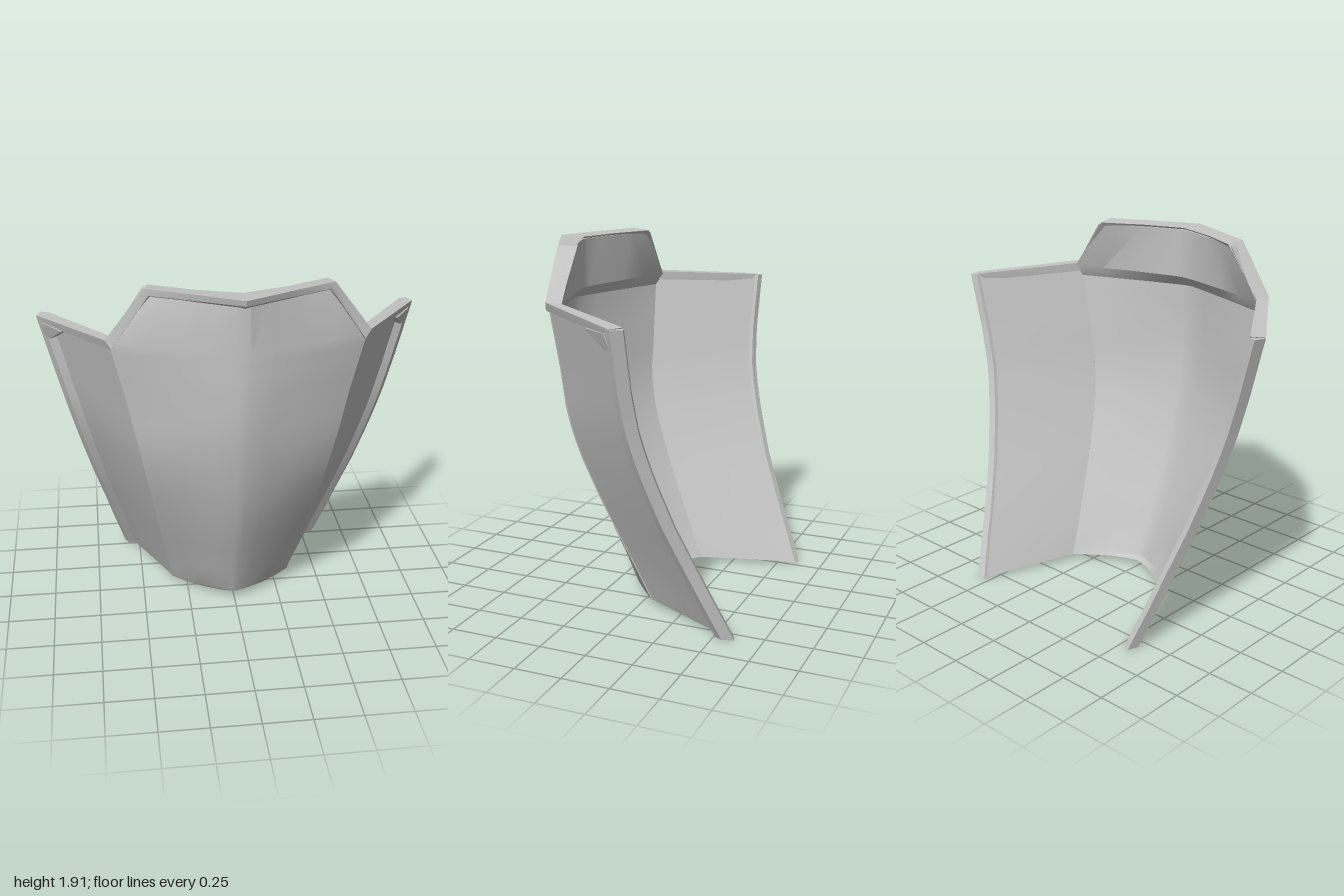
import * as THREE from 'three';
import { toCreasedNormals } from 'three/addons/utils/BufferGeometryUtils.js';

const lerp = THREE.MathUtils.lerp;

// Lines running up the plate, as [height, x, z]
const RIDGE = [[0.03, 0, 0.145], [0.05, 0, 0.175], [0.2, 0, 0.235], [0.4, 0, 0.32], [0.6, 0, 0.405],
  [0.8, 0, 0.47], [1.0, 0, 0.52], [1.2, 0, 0.555], [1.4, 0, 0.57], [1.9, 0, 0.573]];
const CREASE = [[0.03, 0.335, -0.06], [0.2, 0.36, 0.015], [0.4, 0.395, 0.105], [0.6, 0.43, 0.19],
  [0.8, 0.465, 0.265], [0.95, 0.49, 0.31], [1.1, 0.52, 0.33], [1.3, 0.56, 0.335],
  [1.6, 0.63, 0.35], [1.64, 0.635, 0.355], [1.9, 0.455, 0.36]];
const EDGE = [[0, 0.585, -0.61], [0.2, 0.64, -0.525], [0.4, 0.69, -0.44], [0.6, 0.745, -0.36],
  [0.8, 0.797, -0.297], [0.95, 0.835, -0.255], [1.1, 0.872, -0.225], [1.3, 0.922, -0.21], [1.61, 1, -0.21]];

// Point of a line at a given height
function at(line, y) {
  let i = 1;
  while (i < line.length - 1 && y > line[i][0]) i++;
  const [a, b] = [line[i - 1], line[i]];
  const t = THREE.MathUtils.clamp((y - a[0]) / (b[0] - a[0]), 0, 1);
  return [lerp(a[1], b[1], t), y, lerp(a[2], b[2], t)];
}
const mix = (a, b, t) => a.map((v, i) => lerp(v, b[i], t));
const shift = (p, x, y, z) => [p[0] + x, p[1] + y, p[2] + z];

// Closed solid through equal loops; each loop is a front row followed by the back row reversed
function loft(sections) {
  const n = sections[0].length;
  const pos = [];
  const quad = (a, b, c, d) => pos.push(...a, ...b, ...c, ...a, ...c, ...d);
  for (let s = 0; s + 1 < sections.length; s++) {
    for (let i = 0; i < n; i++) {
      const j = (i + 1) % n;
      quad(sections[s][i], sections[s][j], sections[s + 1][j], sections[s + 1][i]);
    }
  }
  const [first, last] = [sections[0], sections[sections.length - 1]];
  for (let i = 0; i < n / 2 - 1; i++) {
    const k = n - 1 - i;
    quad(first[i], first[k], first[k - 1], first[i + 1]);
    quad(last[i], last[i + 1], last[k - 1], last[k]);
  }
  // Turn all triangles outward when the enclosed volume comes out negative
  let volume = 0;
  const [a, b, c] = [0, 1, 2].map(() => new THREE.Vector3());
  for (let i = 0; i < pos.length; i += 9) {
    a.fromArray(pos, i); b.fromArray(pos, i + 3); c.fromArray(pos, i + 6);
    volume += a.dot(b.cross(c));
  }
  if (volume < 0) {
    for (let i = 0; i < pos.length; i += 9) {
      for (let k = 3; k < 6; k++) [pos[i + k], pos[i + k + 3]] = [pos[i + k + 3], pos[i + k]];
    }
  }
  const geometry = new THREE.BufferGeometry();
  geometry.setAttribute('position', new THREE.Float32BufferAttribute(pos, 3));
  return toCreasedNormals(geometry, 0.4);
}

// Softly ridged centre panel: a thin wall below, stepping to a thick crest above the inner lip
function centrePanel() {
  const heights = [0.03, 0.05, 0.2, 0.4, 0.6, 0.7, 0.8, 0.9, 1, 1.1, 1.2, 1.3, 1.4, 1.5, 1.57, 1.63, 1.89];
  const columns = [-1, -0.75, -0.5, -0.25, -0.05, 0.05, 0.25, 0.5, 0.75, 1];
  return heights.map((y) => {
    const crest = y > 1.6;
    const ridge = at(RIDGE, y), crease = at(CREASE, y);
    const innerRidge = shift(ridge, 0, 0, crest ? -0.102 : -0.036);
    const innerCrease = crest ? shift(crease, 0, 0, -0.07) : shift(crease, -0.003, 0, -0.026);
    const lean = 0.03 * (1 - y / 1.9);
    const row = (r, c, bulge) => columns.map((u) => {
      const v = Math.abs(u);
      const p = mix(r, c, v);
      return [p[0] * Math.sign(u), p[1], p[2] + bulge * Math.sin(Math.PI * v)];
    });
    return [...row(ridge, crease, lean), ...row(innerRidge, innerCrease, crest ? 0.015 : lean).reverse()];
  });
}

// Flat wing between the crease and the back edge
function wing() {
  const sections = [];
  for (let k = 0; k <= 16; k++) {
    const t = k / 16;
    const crease = at(CREASE, lerp(0.03, 1.62, t));
    const edge = at(EDGE, lerp(0.005, 1.6, t));
    const outer = [shift(crease, -0.003, 0, -0.004), shift(edge, -0.03, 0, 0.04)];
    const inner = [shift(crease, -0.003, 0, -0.026), shift(edge, -0.058, 0, 0.03)];
    sections.push([outer[0], mix(...outer, 0.5), outer[1], inner[1], mix(...inner, 0.5), inner[0]]);
  }
  return sections;
}

// Raised rim with a chamfered foot down the back edge of a wing
function sideRim() {
  const sections = [];
  for (let k = 0; k <= 16; k++) {
    const y = 1.61 * k / 16;
    const e = at(EDGE, y);
    const corner = shift(e, 0, 0, 0.06);
    const crease = at(CREASE, THREE.MathUtils.clamp(y, 0.03, 1.6));
    crease[1] = y;
    const shoulder = mix(corner, crease, 0.085);
    const foot = shift(mix(corner, crease, 0.15), -0.03, 0, -0.02);
    sections.push([shoulder, corner, shift(e, -0.02, 0, 0),
      shift(e, -0.055, 0, 0.012), shift(e, -0.06, 0, 0.04), foot]);
  }
  return sections;
}

// Lip along the crest, down its slanted shoulder and out over the wing
const TOP_RIM = [
  [[0, 1.9, 0.472], [0, 1.905, 0.608], [0, 1.875, 0.6], [0, 1.845, 0.55]],
  [[0.23, 1.9, 0.395], [0.23, 1.908, 0.496], [0.22, 1.875, 0.493], [0.21, 1.845, 0.45]],
  [[0.44, 1.9, 0.288], [0.46, 1.91, 0.385], [0.44, 1.875, 0.39], [0.41, 1.845, 0.345]],
  [[0.63, 1.645, 0.286], [0.655, 1.65, 0.358], [0.625, 1.605, 0.372], [0.61, 1.6, 0.32]],
  [[0.94, 1.615, -0.19], [0.998, 1.612, -0.148], [0.975, 1.575, -0.13], [0.92, 1.575, -0.15]],
];
// Corner gusset joining the wing lip to the side rim
const GUSSET = [
  [[0.87, 1.585, 0.04], [0.97, 1.585, -0.106], [0.94, 1.585, -0.126], [0.84, 1.585, 0.02]],
  [[0.933, 1.5, -0.098], [0.96, 1.5, -0.136], [0.93, 1.5, -0.156], [0.903, 1.5, -0.118]],
];

export function createModel() {
  const group = new THREE.Group();
  const grey = new THREE.MeshStandardMaterial({ color: 0xc4c4c4 });
  grey.name = 'plate grey';

  const add = (name, sections) => {
    const mesh = new THREE.Mesh(loft(sections), grey);
    mesh.name = name;
    group.add(mesh);
  };
  add('centrePanel', centrePanel());

  for (const [side, sign] of [['left', 1], ['right', -1]]) {
    const mirror = (sections) => sections.map((s) => s.map(([x, y, z]) => [x * sign, y, z]));
    add(side + 'Wing', mirror(wing()));
    add(side + 'SideRim', mirror(sideRim()));
    add(side + 'TopRim', mirror(TOP_RIM));
    add(side + 'CornerGusset', mirror(GUSSET));
  }
  return group;
}
